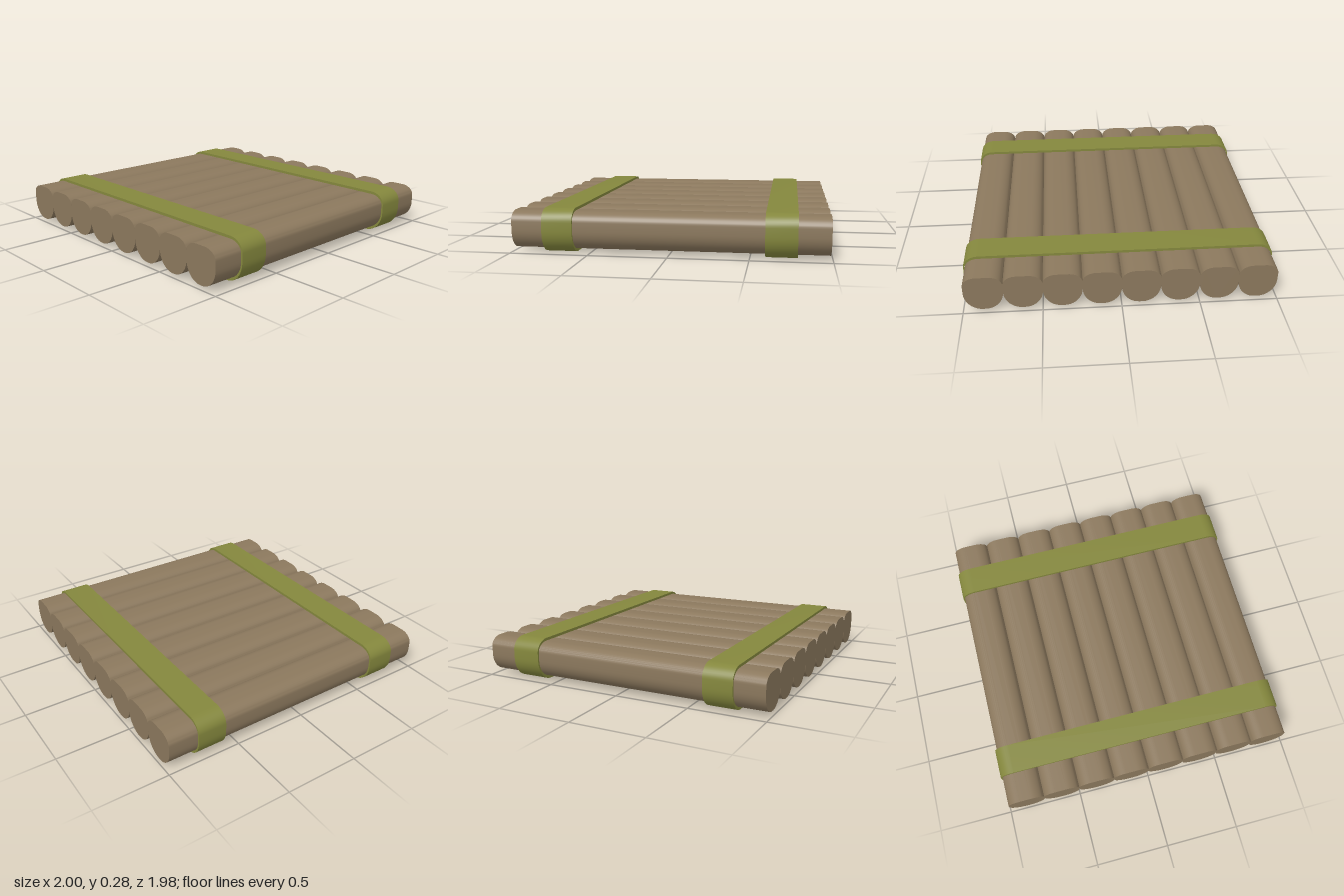
import * as THREE from 'three';
import { toCreasedNormals } from 'three/addons/utils/BufferGeometryUtils.js';

const LOGS = 8, PITCH = 0.247, LENGTH = 1.975, BAND_WIDTH = 0.195;

// Extrude a cross-section along z, centred, smooth round the sides and sharp at the ends
function extrude(shape, depth) {
  const geo = new THREE.ExtrudeGeometry(shape, { depth, bevelEnabled: false, curveSegments: 10 });
  geo.translate(0, 0, -depth / 2);
  return toCreasedNormals(geo, 0.7);
}

// Outline with a flattened top, bulging sides and a round or flat bottom
function outline(target, halfWidth, top, bottom, shoulder, heel) {
  const w = halfWidth, hi = 0.2, lo = 0.145;
  const tx = w - shoulder, bx = w - heel;
  target.moveTo(tx, top);
  target.bezierCurveTo(tx + shoulder * 0.55, top, w, top - (top - hi) * 0.45, w, hi);
  target.lineTo(w, lo);
  target.bezierCurveTo(w, lo - (lo - bottom) * 0.55, bx + heel * 0.55, bottom, bx, bottom);
  target.lineTo(-bx, bottom);
  target.bezierCurveTo(-bx - heel * 0.55, bottom, -w, lo - (lo - bottom) * 0.55, -w, lo);
  target.lineTo(-w, hi);
  target.bezierCurveTo(-w, top - (top - hi) * 0.45, -tx - shoulder * 0.55, top, -tx, top);
  return target;
}

export function createModel() {
  const group = new THREE.Group();
  group.name = 'raft';
  const wood = new THREE.MeshStandardMaterial({ color: 0x8b785d });
  const rope = new THREE.MeshStandardMaterial({ color: 0x84873d });

  // Row of logs
  const logGeo = extrude(outline(new THREE.Shape(), PITCH / 2, 0.265, 0.021, 0.085, 0.115), LENGTH);
  for (let i = 0; i < LOGS; i++) {
    const log = new THREE.Mesh(logGeo, wood);
    log.name = `log${i + 1}`;
    log.position.x = (i - (LOGS - 1) / 2) * PITCH;
    group.add(log);
  }

  // Two binding straps wrapped around the row
  const strap = outline(new THREE.Shape(), 1, 0.283, 0, 0.1, 0.13);
  strap.holes.push(outline(new THREE.Path(), 0.989, 0.265, 0.02, 0.088, 0.118));
  const strapGeo = extrude(strap, BAND_WIDTH);
  for (const [name, z] of [['frontStrap', 0.692], ['backStrap', -0.692]]) {
    const mesh = new THREE.Mesh(strapGeo, rope);
    mesh.name = name;
    mesh.position.z = z;
    group.add(mesh);
  }
  return group;
}
